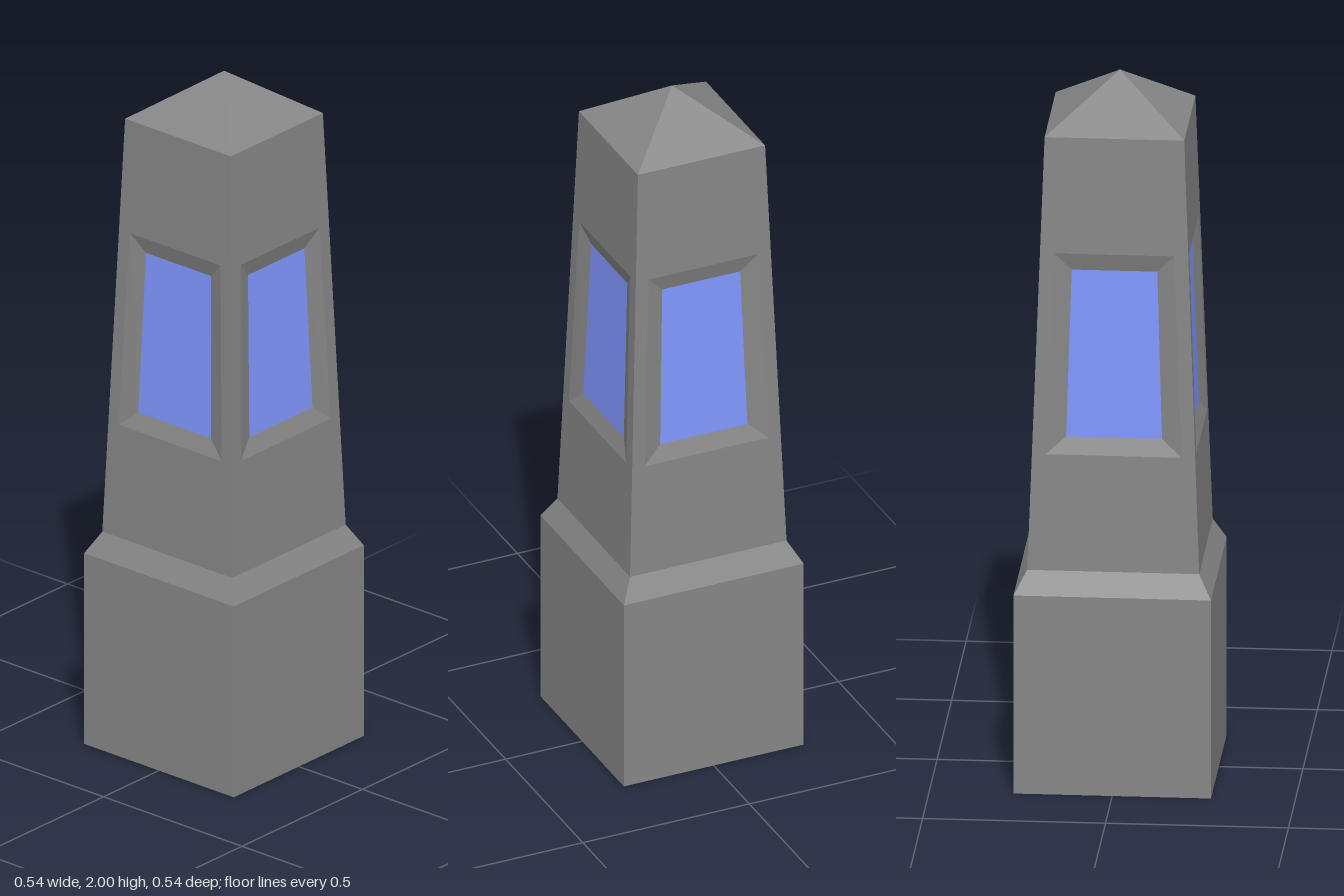
import * as THREE from 'three';
import { mergeGeometries } from 'three/addons/utils/BufferGeometryUtils.js';

const stone = new THREE.MeshStandardMaterial({ color: 0x868686, flatShading: true, side: THREE.DoubleSide });
const glass = new THREE.MeshStandardMaterial({ color: 0x8097ff, flatShading: true, side: THREE.DoubleSide });

// Heights and half widths of the square sections
const BASE = { y: 0.57, r: 0.27 };
const FOOT = { y: 0.633, r: 0.235 };
const TOP = { y: 1.865, r: 0.191 };
const APEX = 2;

// Half width of the tapering shaft at height y
const shaftRadius = (y) => THREE.MathUtils.mapLinear(y, FOOT.y, TOP.y, FOOT.r, TOP.r);

// Front-facing trapezoid on the shaft, corners anticlockwise from bottom left
function trapezoid(y0, w0, y1, w1, inset = 0) {
  const z0 = shaftRadius(y0) - inset, z1 = shaftRadius(y1) - inset;
  return [[-w0, y0, z0], [w0, y0, z0], [w1, y1, z1], [-w1, y1, z1]];
}

function quad([a, b, c, d]) {
  const g = new THREE.BufferGeometry();
  g.setAttribute('position', new THREE.Float32BufferAttribute([a, b, c, a, c, d].flat(), 3));
  g.computeVertexNormals();
  return g;
}

// Four quads joining an outer loop to an inner loop
function frame(outer, inner) {
  return mergeGeometries(outer.map((p, i) => {
    const j = (i + 1) % 4;
    return quad([p, outer[j], inner[j], inner[i]]);
  }));
}

// Sloping wall between two square sections
const wall = (a, b) => quad([[-a.r, a.y, a.r], [a.r, a.y, a.r], [b.r, b.y, b.r], [-b.r, b.y, b.r]]);

// Repeat one side around the four faces
function fourSides(name, geometry, material) {
  const sides = [0, 1, 2, 3].map((i) => geometry.clone().rotateY(i * Math.PI / 2));
  const mesh = new THREE.Mesh(mergeGeometries(sides), material);
  mesh.name = name;
  return mesh;
}

export function createModel() {
  const model = new THREE.Group();
  model.name = 'obelisk';

  const face = trapezoid(FOOT.y, FOOT.r, TOP.y, TOP.r);
  const opening = trapezoid(0.963, 0.186, 1.535, 0.164);
  const pane = trapezoid(1.01, 0.131, 1.485, 0.117, 0.016);

  // Pyramid cap, open underneath
  const cap = new THREE.ConeGeometry(TOP.r * Math.SQRT2, APEX - TOP.y, 4, 1, true);
  cap.rotateY(Math.PI / 4).translate(0, (APEX + TOP.y) / 2, 0);
  const capMesh = new THREE.Mesh(cap, stone);
  capMesh.name = 'pyramidCap';

  model.add(
    fourSides('base', wall({ y: 0, r: BASE.r }, BASE), stone),
    fourSides('baseBevel', wall(BASE, FOOT), stone),
    fourSides('shaft', frame(face, opening), stone),
    fourSides('windowReveals', frame(opening, pane), stone),
    fourSides('windowPanes', quad(pane), glass),
    capMesh,
  );
  return model;
}
